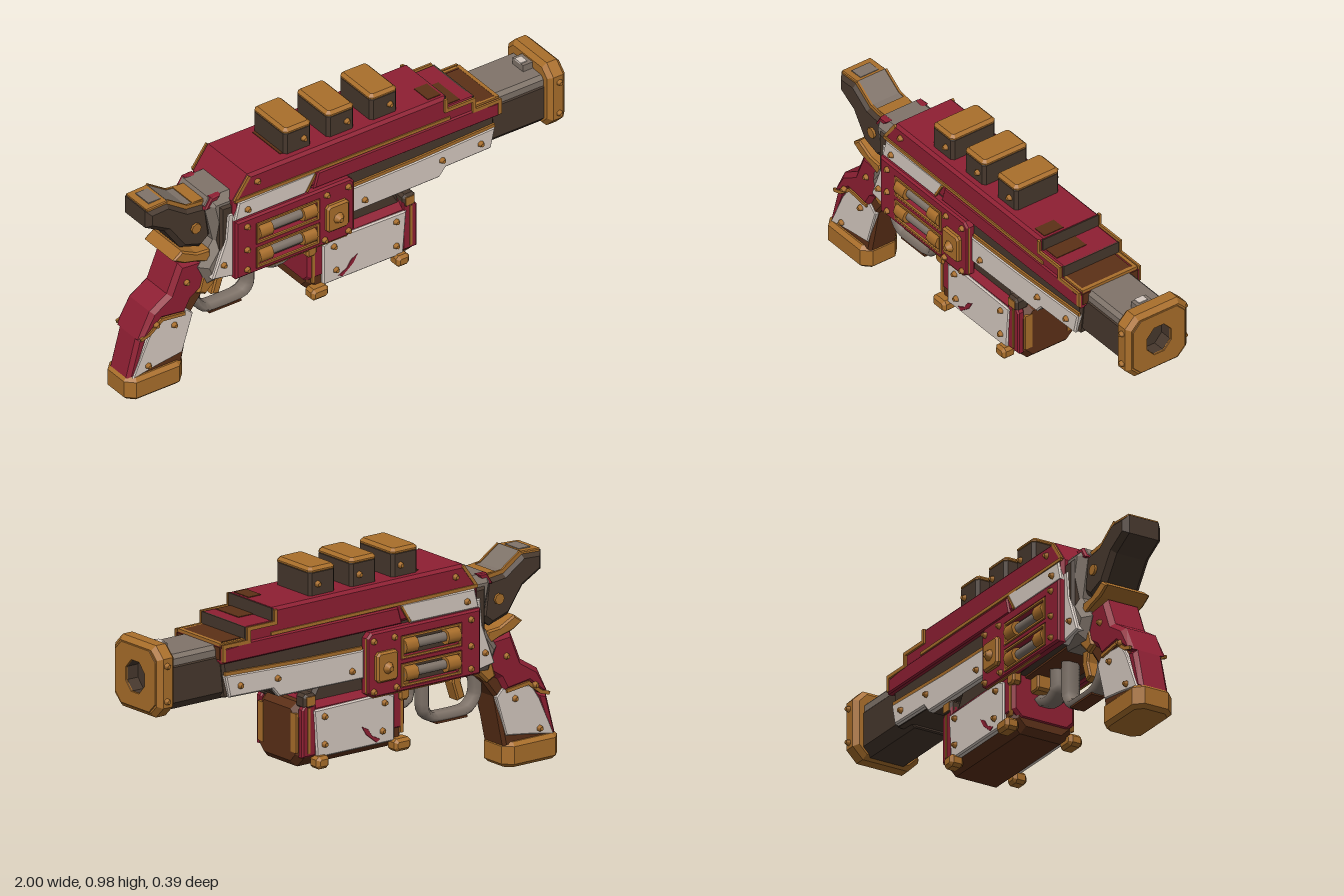
import * as THREE from 'three';

const mat = (name, color) => Object.assign(new THREE.MeshStandardMaterial({ color }), { name });

export function createModel() {
  const red = mat('red paint', 0x8f1f33), white = mat('worn white', 0xd6cac1), brass = mat('brass', 0xaa6f2b),
    dark = mat('dark steel', 0x47382d), grey = mat('grey steel', 0x80746a), brown = mat('rust brown', 0x5c3017);
  const root = new THREE.Group();
  root.name = 'blaster';

  const add = (name, geo, m, x = 0, y = 0, z = 0) => {
    const mesh = new THREE.Mesh(geo, m);
    mesh.name = name;
    mesh.position.set(x, y, z);
    root.add(mesh);
    return mesh;
  };
  const box = (name, m, w, h, d, x, y, z) => add(name, new THREE.BoxGeometry(w, h, d), m, x, y, z);
  const vecs = (pts) => pts.map(([x, y]) => new THREE.Vector2(x, y));
  // Chamfered slab, outline in x/y, centred on z with half width w
  const slab = (pts, w, b = 0.015, holes = []) => {
    const shape = new THREE.Shape(vecs(pts));
    holes.forEach((h) => shape.holes.push(new THREE.Path(vecs(h))));
    const geo = new THREE.ExtrudeGeometry(shape, {
      depth: 2 * (w - b), bevelThickness: b, bevelSize: b, bevelOffset: -b, bevelSegments: 1, curveSegments: 4
    });
    return geo.translate(0, 0, b - w);
  };
  const rect = (x0, y0, x1, y1) => [[x0, y0], [x1, y0], [x1, y1], [x0, y1]];
  const octagon = (w, y0, y1, c) => [[-w + c, y0], [w - c, y0], [w, y0 + c], [w, y1 - c],
    [w - c, y1], [-w + c, y1], [-w, y1 - c], [-w, y0 + c]];
  // Slab whose outline lies in z/y and which runs along x
  const along = (pts, x0, x1, b, holes) =>
    slab(pts, (x1 - x0) / 2, b, holes).rotateY(Math.PI / 2).translate((x0 + x1) / 2, 0, 0);
  // Upright block with chamfered plan
  const block = (w, d, y0, y1, c, b) =>
    slab(octagon(w, -d, d, c), (y1 - y0) / 2, b).rotateX(-Math.PI / 2).translate(0, (y0 + y1) / 2, 0);
  // The same plate on both flanks, reaching out to |z| = w
  const flanks = (name, pts, w, t, m, b = 0.006, holes = []) => {
    const geo = slab(pts, t / 2, b, holes);
    for (const s of [1, -1]) add(name, geo, m, 0, 0, s * (w - t / 2));
  };
  // Thin edging following a polyline on both flanks
  const trim = (name, pts, w, h = 0.013) => {
    for (let i = 1; i < pts.length; i++) {
      const [ax, ay] = pts[i - 1], [bx, by] = pts[i];
      const geo = new THREE.BoxGeometry(Math.hypot(bx - ax, by - ay) + h * 0.8, h, 0.009);
      for (const s of [1, -1]) {
        add(name, geo, brass, (ax + bx) / 2, (ay + by) / 2, s * w).rotation.z = Math.atan2(by - ay, bx - ax);
      }
    }
  };

  // Central body
  add('innerBody', slab([[-0.6, 0.76], [-0.6, 0.45], [-0.02, 0.43], [0.0, 0.512], [0.41, 0.515], [0.45, 0.548], [0.66, 0.553], [0.68, 0.72]], 0.125, 0.01), dark);
  box('bellyPlate', brown, 0.4, 0.008, 0.17, -0.33, 0.436, 0).rotation.z = -0.034;
  add('rearFrame', slab([[-0.65, 0.77], [-0.63, 0.8], [-0.5, 0.8], [-0.5, 0.42], [-0.64, 0.41], [-0.68, 0.5], [-0.61, 0.6]], 0.115, 0.03), grey);
  flanks('rearPatch', [[-0.655, 0.755], [-0.625, 0.803], [-0.58, 0.803], [-0.62, 0.755]], 0.1, 0.03, red);

  // Stepped upper housing
  add('upperHousing', slab([[-0.55, 0.7], [-0.55, 0.775], [-0.48, 0.872], [0.44, 0.872], [0.44, 0.82], [0.57, 0.82], [0.57, 0.77], [0.69, 0.77], [0.69, 0.7]], 0.139, 0.012), red);
  flanks('lowerRail', [[-0.18, 0.695], [-0.16, 0.765], [0.56, 0.765], [0.69, 0.755], [0.69, 0.695]], 0.145, 0.03, red);
  trim('housingEdge', [[-0.54, 0.777], [0.45, 0.773]], 0.14, 0.013);
  trim('housingEdge', [[-0.54, 0.78], [-0.48, 0.862]], 0.137);
  trim('stepEdge', [[0.434, 0.86], [0.434, 0.814], [0.564, 0.814], [0.564, 0.764], [0.684, 0.764], [0.684, 0.71]], 0.143, 0.015);
  box('stepTop', brown, 0.1, 0.008, 0.23, 0.625, 0.77, 0.005);
  box('stepPatch', brown, 0.07, 0.006, 0.14, 0.48, 0.82, 0.05);
  box('roofPatch', brown, 0.06, 0.006, 0.09, 0.4, 0.872, 0.07);
  box('roofPatch', brown, 0.03, 0.006, 0.18, -0.285, 0.872, 0);
  box('deckEdge', brass, 0.016, 0.012, 0.26, 0.683, 0.769, 0);
  for (const s of [1, -1]) box('deckEdge', brass, 0.11, 0.01, 0.014, 0.63, 0.769, s * 0.124);
  [[0.44, 0.845, dark], [0.57, 0.795, dark], [0.69, 0.735, brown]].forEach(([x, y, m]) =>
    box('stepFace', m, 0.008, 0.05, 0.262, x, y, 0));

  // White side armour
  flanks('upperArmour', [[-0.55, 0.69], [-0.53, 0.77], [-0.17, 0.772], [-0.22, 0.69]], 0.146, 0.03, white);
  trim('armourEnd', [[-0.177, 0.76], [-0.213, 0.7]], 0.144, 0.009);
  flanks('rearArmour', [[-0.64, 0.45], [-0.58, 0.61], [-0.57, 0.72], [-0.53, 0.72], [-0.53, 0.43]], 0.13, 0.04, white);
  flanks('barrelArmour', [[0, 0.51], [0, 0.625], [0.3, 0.63], [0.67, 0.645], [0.65, 0.555], [0.44, 0.55], [0.41, 0.515]], 0.138, 0.03, white);
  trim('armourEdge', [[0.01, 0.63], [0.3, 0.635], [0.665, 0.65]], 0.129, 0.014);

  // Red side panel with two windows
  const windows = [rect(-0.45, 0.565, -0.17, 0.645), rect(-0.45, 0.455, -0.17, 0.535)];
  flanks('sidePanel', [[-0.55, 0.43], [-0.55, 0.69], [-0.02, 0.69], [0, 0.67], [0, 0.45], [-0.03, 0.43]], 0.157, 0.04, red, 0.008, windows);
  windows.forEach((w) => trim('windowEdge', [w[0], w[1], w[2], w[3], w[0]], 0.155, 0.008));
  trim('panelEdge', [[-0.4, 0.433], [-0.035, 0.433], [-0.004, 0.455], [-0.004, 0.665]], 0.147, 0.009);
  for (const s of [1, -1]) {
    for (const y of [0.605, 0.495]) {
      add('tube', new THREE.CylinderGeometry(0.02, 0.02, 0.26, 8).rotateZ(Math.PI / 2), grey, -0.31, y, s * 0.138);
      for (const x of [-0.415, -0.21]) {
        add('tubeCap', new THREE.CylinderGeometry(0.032, 0.032, 0.06, 8).rotateZ(Math.PI / 2), brass, x, y, s * 0.141);
      }
    }
    add('latchPlate', slab(octagon(0.052, -0.06, 0.06, 0.012), 0.015, 0.008), brass, -0.087, 0.55, s * 0.161);
    add('latchStud', new THREE.CylinderGeometry(0.01, 0.026, 0.024, 8).rotateX(s * Math.PI / 2), brass, -0.087, 0.545, s * 0.185);
  }

  // Barrel and muzzle, with a dark bore behind a brass face ring
  add('barrel', along(octagon(0.11, 0.54, 0.75, 0.035), 0.6, 0.94, 0.005), dark);
  add('barrelTop', along(octagon(0.105, 0.7, 0.762, 0.015), 0.65, 0.93, 0.005), grey);
  box('barrelSight', grey, 0.06, 0.04, 0.07, 0.9, 0.77, 0);
  box('sightInlay', white, 0.03, 0.008, 0.04, 0.885, 0.79, 0);
  const ring = (r) => Array.from({ length: 8 }, (_, i) => {
    const a = (i + 0.5) * Math.PI / 4;
    return [r * Math.cos(a), 0.672 + 1.1 * r * Math.sin(a)];
  });
  add('muzzle', along(octagon(0.146, 0.53, 0.815, 0.045), 0.915, 0.996, 0.018, [ring(0.075)]), brass);
  add('bore', along(ring(0.092), 0.93, 0.992, 0.001, [ring(0.062)]), dark);
  add('muzzleFace', along(octagon(0.125, 0.55, 0.795, 0.04), 0.991, 1.0, 0.002, [ring(0.06)]), brass);

  // Top cells
  for (const x of [-0.225, -0.025, 0.175]) {
    add('cellBody', block(0.063, 0.105, 0.86, 0.963, 0.012, 0.002), dark, x);
    add('cellCap', block(0.064, 0.106, 0.953, 0.983, 0.014, 0.012), brass, x);
  }

  // Hammer
  add('hammer', slab([[-0.91, 0.835], [-0.81, 0.84], [-0.72, 0.78], [-0.63, 0.77], [-0.61, 0.62], [-0.66, 0.58], [-0.75, 0.61], [-0.82, 0.71], [-0.91, 0.76]], 0.085, 0.02), dark);
  add('hammerTop', slab([[-0.905, 0.825], [-0.905, 0.842], [-0.81, 0.846], [-0.81, 0.825]], 0.07, 0.004), brass);
  box('hammerInlay', grey, 0.055, 0.006, 0.085, -0.85, 0.845, 0);
  add('hammerRamp', slab([[-0.815, 0.82], [-0.81, 0.847], [-0.72, 0.788], [-0.65, 0.78], [-0.65, 0.765], [-0.725, 0.77]], 0.068, 0.003), grey);
  trim('hammerEdge', [[-0.805, 0.839], [-0.722, 0.784], [-0.65, 0.776]], 0.067, 0.016);
  box('hammerStop', brass, 0.05, 0.012, 0.13, -0.665, 0.783, 0);
  add('hammerPin', new THREE.CylinderGeometry(0.022, 0.022, 0.19, 8).rotateX(Math.PI / 2), brass, -0.69, 0.685, 0);

  // Grip
  add('gripCore', slab([[-0.72, 0.55], [-0.61, 0.5], [-0.62, 0.38], [-0.69, 0.29], [-0.735, 0.08], [-0.96, 0.08], [-0.86, 0.27]], 0.066, 0.012), brown);
  add('gripUpper', slab([[-0.76, 0.54], [-0.63, 0.53], [-0.61, 0.42], [-0.7, 0.36], [-0.73, 0.305], [-0.84, 0.32], [-0.9, 0.27], [-0.945, 0.26], [-0.89, 0.37], [-0.81, 0.42]], 0.083, 0.018), red);
  flanks('gripArmour', [[-0.86, 0.31], [-0.72, 0.32], [-0.69, 0.29], [-0.715, 0.21], [-0.74, 0.13], [-0.85, 0.115], [-0.97, 0.095], [-0.9, 0.25]], 0.072, 0.02, white, 0.004);
  add('gripBack', slab([[-0.99, 0.09], [-0.945, 0.26], [-0.89, 0.27], [-0.95, 0.09]], 0.065, 0.015), red);
  trim('gripEdge', [[-0.935, 0.266], [-0.9, 0.277], [-0.84, 0.322], [-0.74, 0.31]], 0.079, 0.014);
  add('gripBase', block(0.135, 0.088, 0, 0.1, 0.035, 0.015), brass, -0.865);
  add('gripCollar', slab([[-0.8, 0.58], [-0.76, 0.61], [-0.69, 0.575], [-0.63, 0.57], [-0.62, 0.51], [-0.69, 0.535], [-0.75, 0.55]], 0.098, 0.007), brass);
  add('gripFront', slab([[-0.66, 0.45], [-0.61, 0.47], [-0.59, 0.41], [-0.64, 0.36], [-0.68, 0.38]], 0.088, 0.01), brass);

  // Trigger and guard
  const curve = (pts) => new THREE.CatmullRomCurve3(pts.map(([x, y]) => new THREE.Vector3(x, y, 0)), false, 'catmullrom', 0.3);
  add('triggerGuard', new THREE.TubeGeometry(curve([[-0.64, 0.4], [-0.64, 0.3], [-0.59, 0.247], [-0.43, 0.247], [-0.388, 0.29], [-0.388, 0.45]]), 24, 0.021, 6).scale(1, 1, 2), grey);
  box('guardPlate', brown, 0.15, 0.008, 0.06, -0.51, 0.227, 0);
  add('trigger', slab([[-0.57, 0.44], [-0.52, 0.44], [-0.515, 0.37], [-0.54, 0.295], [-0.575, 0.305], [-0.555, 0.37]], 0.03, 0.006), brass);
  add('feedTube', new THREE.TubeGeometry(curve([[-0.31, 0.45], [-0.31, 0.35], [-0.26, 0.33], [-0.17, 0.36]]), 12, 0.025, 6).scale(1, 1, 1.8), grey);
  add('feedClamp', slab(octagon(0.03, 0.37, 0.44, 0.01), 0.06, 0.006), brass, -0.22);

  // Underslung magazine: red upper shell over a brown case
  add('magazineMount', slab([[-0.12, 0.42], [-0.12, 0.54], [0.2, 0.54], [0.26, 0.43]], 0.115), dark);
  add('magazine', along(octagon(0.135, 0.205, 0.46, 0.045), -0.195, 0.312, 0.025), brown);
  add('magazineShell', along(octagon(0.139, 0.255, 0.472, 0.035), -0.2, 0.26, 0.012), red);
  flanks('magazineCheek', [[0.235, 0.25], [0.235, 0.47], [0.275, 0.47], [0.302, 0.44], [0.302, 0.25]], 0.142, 0.03, red);
  trim('cheekEdge', [[0.272, 0.27], [0.272, 0.44]], 0.141, 0.012);
  trim('shellEdge', [[-0.18, 0.27], [-0.18, 0.4]], 0.137, 0.014);
  flanks('magazineArmour', [[-0.14, 0.24], [-0.14, 0.42], [-0.1, 0.437], [0.25, 0.432], [0.235, 0.24]], 0.147, 0.03, white);
  // Chips where the red shows through
  flanks('paintChip', [[-0.05, 0.25], [0.0, 0.29], [0.02, 0.325], [-0.01, 0.31], [-0.03, 0.28], [-0.07, 0.26]], 0.149, 0.006, red, 0.001);
  for (const s of [1, -1]) {
    box('endStrip', brass, 0.012, 0.155, 0.034, 0.308, 0.345, s * 0.1);
    for (const [x, w] of [[-0.165, 0.08], [0.22, 0.06]]) {
      add('magazineFoot', slab(octagon(w / 2, 0.2, 0.25, 0.012), 0.03, 0.012), brass, x, 0, s * 0.142);
    }
    add('magazineClamp', slab(octagon(0.025, 0.39, 0.48, 0.012), 0.02, 0.008), brass, -0.19, 0, s * 0.128);
    add('magazineLug', slab(octagon(0.03, 0.44, 0.5, 0.012), 0.03, 0.01), dark, 0.265, 0, s * 0.115);
    box('lugFace', brass, 0.04, 0.035, 0.008, 0.265, 0.472, s * 0.144);
  }

  // Rivets: x, y, distance from the centre plane
  const rivet = new THREE.CylinderGeometry(0.008, 0.015, 0.018, 6).rotateX(Math.PI / 2);
  const spots = [[-0.5, 0.655, 0.157], [-0.5, 0.55, 0.157], [-0.5, 0.46, 0.157], [-0.13, 0.655, 0.157], [-0.03, 0.655, 0.157],
    [-0.03, 0.455, 0.157], [-0.14, 0.455, 0.157], [-0.49, 0.725, 0.146], [-0.44, 0.83, 0.139], [0.06, 0.55, 0.138],
    [0.42, 0.59, 0.138], [0.6, 0.595, 0.138], [-0.09, 0.4, 0.147], [0.2, 0.4, 0.147], [-0.08, 0.29, 0.147], [0.2, 0.29, 0.147],
    [-0.59, 0.5, 0.13], [-0.73, 0.45, 0.083], [-0.87, 0.31, 0.083], [-0.78, 0.27, 0.072], [-0.9, 0.13, 0.072],
    [-0.2, 0.915, 0.105], [0.0, 0.915, 0.105], [0.2, 0.915, 0.105], [0.96, 0.6, 0.146], [0.96, 0.74, 0.146]];
  for (const [x, y, z] of spots) {
    for (const s of [1, -1]) add('rivet', rivet, brass, x, y, s * (z + 0.006)).rotation.x = s > 0 ? 0 : Math.PI;
  }
  return root;
}
